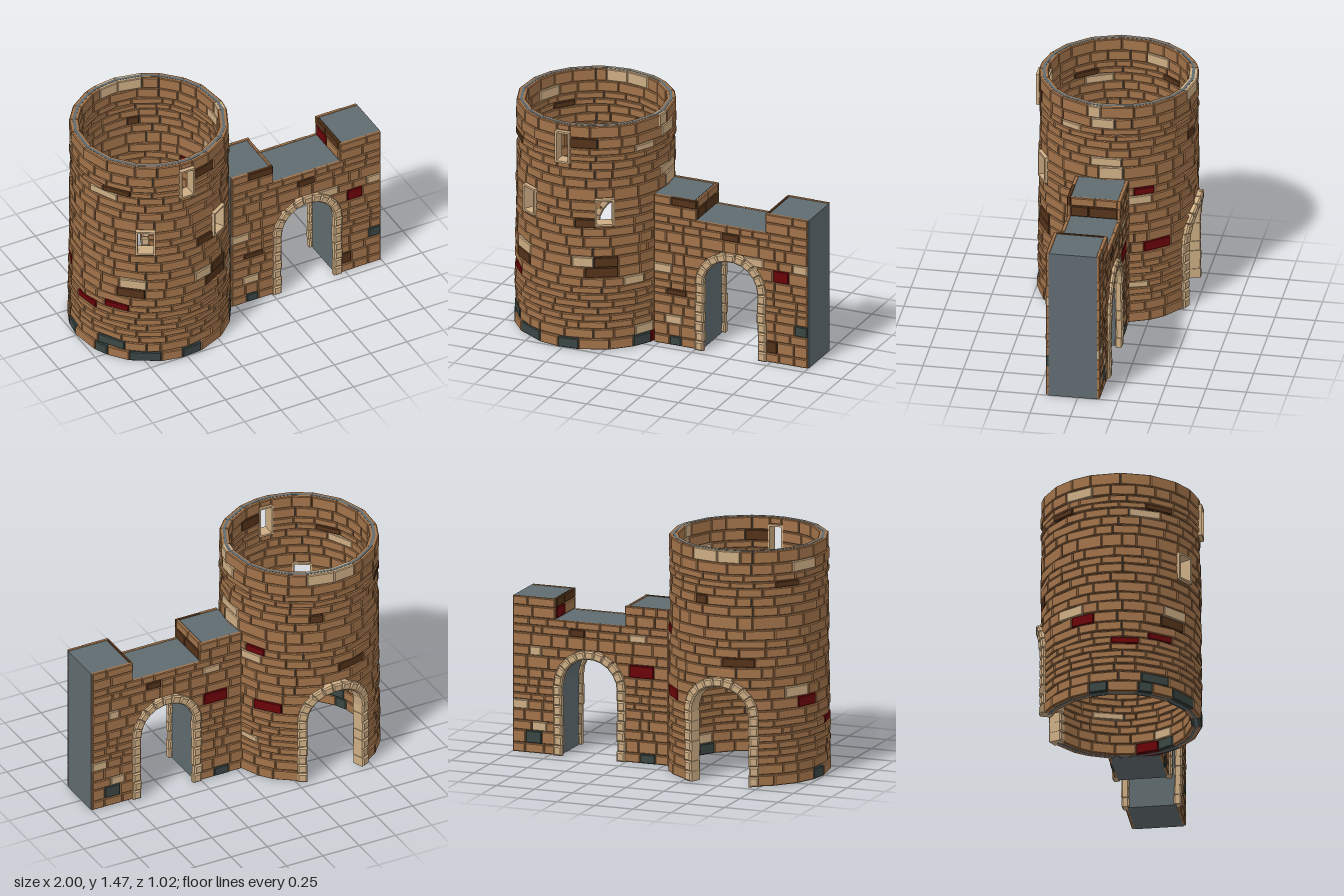
import * as THREE from 'three';
import { mergeGeometries } from 'three/addons/utils/BufferGeometryUtils.js';

const CX = -0.5, CZ = 0.008, R = 0.49, INNER = 0.43;
const ARCH = { x: 0.487, spring: 0.44, inner: 0.18, outer: 0.234, cut: 0.215 };
const DEG = Math.PI / 180;

// small seeded generator
let seed = 7;
const rand = () => (seed = (seed * 16807) % 2147483647) / 2147483647;

const paint = (name, color) => Object.assign(new THREE.MeshStandardMaterial({ color }), { name });
const palette = {
  brick: paint('brown brick', 0xa2734a),
  cream: paint('cream stone', 0xcdad84),
  dark: paint('dark brown brick', 0x55331a),
  red: paint('red brick', 0x6b0409),
  slate: paint('slate brick', 0x3a4643),
  mortar: paint('grey mortar', 0x606c70),
};

// collects shapes by colour, then makes one mesh per colour
class Part {
  constructor() { this.lists = {}; }
  add(color, geo, map) {
    if (geo.index) geo = geo.toNonIndexed();
    const p = geo.attributes.position;
    for (let i = 0; i < p.count; i++) p.setXYZ(i, ...map(p.getX(i), p.getY(i), p.getZ(i)));
    geo.computeVertexNormals();
    (this.lists[color] ??= []).push(geo);
  }
  build(name) {
    const group = new THREE.Group();
    group.name = name;
    for (const [color, list] of Object.entries(this.lists)) {
      const mesh = new THREE.Mesh(mergeGeometries(list), palette[color]);
      mesh.name = `${name} ${color}`;
      group.add(mesh);
    }
    return group;
  }
}

function rectPath(PathType, w, h) {
  const p = new PathType();
  p.moveTo(-w / 2, -h / 2).lineTo(w / 2, -h / 2).lineTo(w / 2, h / 2).lineTo(-w / 2, h / 2).closePath();
  return p;
}

// chamfered block: centred in x and y, z from 0 to d
function block(w, h, d, b = 0.005) {
  b = Math.min(b, w / 4, h / 4);
  return new THREE.ExtrudeGeometry(rectPath(THREE.Shape, w - 2 * b, h - 2 * b),
    { depth: d - 2 * b, bevelEnabled: true, bevelSize: b, bevelThickness: b, bevelSegments: 1 }).translate(0, 0, b);
}

// split lo..hi around blocked ranges, then fill each span with bricks
function course(lo, hi, blocked, size, lay) {
  let spans = [[lo, hi]];
  for (const [a, b] of blocked) {
    spans = spans.flatMap(([s, e]) => (b <= s || a >= e) ? [[s, e]] : [[s, a], [b, e]].filter(([p, q]) => q - p > 0.012));
  }
  for (const [s, e] of spans) {
    const n = Math.max(1, Math.round((e - s) / size)), step = (e - s) / n;
    let a = s;
    for (let i = 1; i <= n; i++) {
      const b = i === n ? e : s + step * (i + (rand() - 0.5) * 0.6);
      lay(a, b);
      a = b;
    }
  }
}

// colour of a brick lying over a chosen accent spot
function accent(list, a, b, y0, y1) {
  const hit = list.find(([p, y]) => p >= a && p < b && y >= y0 && y < y1);
  return hit ? hit[2] : 'brick';
}

const archHalf = (y) => y < ARCH.spring ? ARCH.cut : Math.sqrt(Math.max(0, ARCH.cut ** 2 - (y - ARCH.spring) ** 2));

// cream stones around a doorway; map places the flat arch on its surface
function archStones(part, depth, map) {
  const w = ARCH.outer - ARCH.inner, mid = (ARCH.outer + ARCH.inner) / 2, posts = 7, ring = 11;
  const h = ARCH.spring / posts;
  for (const side of [-1, 1]) {
    for (let i = 0; i < posts; i++) {
      const out = (rand() - 0.3) * 0.008, proud = rand() * 0.008;
      part.add('cream', block(w, h * 0.98, depth, 0.009),
        (x, y, z) => map(x + side * (mid + out), y + h * (i + 0.5), z - proud));
    }
  }
  for (let i = 0; i < ring; i++) {
    const angle = Math.PI * (i + 0.5) / ring;
    const geo = block(mid * Math.PI / ring * 1.04, w, depth, 0.009).rotateZ(angle - Math.PI / 2);
    part.add('cream', geo, (x, y, z) => map(x + Math.cos(angle) * mid, y + ARCH.spring + Math.sin(angle) * mid, z));
  }
}

const WINDOWS = [
  { angle: 0, y0: 1.22, y1: 1.427, w: 0.098 },
  { angle: -30.5 * DEG, y0: 0.82, y1: 0.995, w: 0.12 },
  { angle: 30.5 * DEG, y0: 0.82, y1: 0.995, w: 0.12 },
];

function polar(angle, y, r) {
  return [CX + Math.sin(angle) * r, y, CZ + Math.cos(angle) * r];
}

function buildTower() {
  const bricks = new Part();
  const rows = [0, 0.07, 0.135, 0.185, 0.23, 0.275, 0.32, 0.365, 0.41, 0.47, 0.54, 0.61, 0.67, 0.74, 0.8, 0.86,
    0.91, 0.975, 1.06, 1.12, 1.18, 1.235, 1.275, 1.32, 1.39, 1.47];
  // accent bricks by colour: angle in degrees from the front, height
  const accents = {
    dark: [[17, 1.36], [-55, 1.25], [10, 0.83], [40, 0.57], [38, 0.5], [-41, 0.5], [224, 1.25], [184, 0.77], [165, 1.15]],
    cream: [[-55, 1.2], [20, 0.57], [-46, 0.57], [81, 1.43], [82, 1.35], [91, 1.09], [95, 1.02], [122, 0.83], [58, 0.44],
      [118, 0.25], [58, 1.29], [172, 1.43], [182, 1.43], [250, 1.36], [203, 0.77], [243, 0.57], [66, 0.11]],
    red: [[-59, 0.39], [-74, 0.33], [123, 0.89], [118, 0.5], [194, 0.77], [255, 0.5], [74, 0.04]],
    slate: [[-55, 0.1], [61, 0.1], [-32, 0.03], [4, 0.03], [-64, 0.03], [58, 0.03], [262, 0.03]],
  };
  const spots = Object.entries(accents).flatMap(([c, list]) => list.map(([a, y]) => [a * DEG * R, y, c]));

  // bricks pass through the wall, so both faces match
  const lay = (a, b, y0, y1, outer) => {
    const w = b - a, h = y1 - y0, mid = (a + b) / 2, ym = (y0 + y1) / 2;
    const bend = (inner) => (x, y, z) => polar((mid + x) / R, ym + y, inner + z);
    bricks.add(accent(spots, a, b, y0, y1), block(w - 0.003, h - 0.003, outer - INNER), bend(INNER));
    bricks.add('mortar', new THREE.BoxGeometry(w, h, 0.018), bend((outer + INNER) / 2));
  };

  for (let i = 0; i < rows.length - 1; i++) {
    const y0 = rows[i], y1 = rows[i + 1], ym = (y0 + y1) / 2;
    const outer = 0.497 - 0.008 * ym + (i ? (rand() - 0.5) * 0.006 : 0.002);
    const blocked = [];
    const half = archHalf(ym);
    if (half > 0) {
      const s = Math.asin(half / R) * R;
      blocked.push([Math.PI * R - s, Math.PI * R + s]);
    }
    for (const win of WINDOWS) {
      if (y1 <= win.y0 || y0 >= win.y1) continue;
      const a = win.angle * R - win.w / 2 + 0.006, b = a + win.w - 0.012;
      blocked.push([a, b]);
      if (win.y0 - y0 > 0.01) lay(a, b, y0, win.y0, outer);
      if (y1 - win.y1 > 0.01) lay(a, b, win.y1, y1, outer);
    }
    const start = (-1.5 + (rand() - 0.5) * 0.2) * R;
    course(start, start + 2 * Math.PI * R, blocked, 0.15, (a, b) => lay(a, b, y0, y1, outer));
  }

  // window frames, open through the wall
  const frames = new Part();
  for (const { angle, y0, y1, w } of WINDOWS) {
    const shape = rectPath(THREE.Shape, w, y1 - y0);
    shape.holes.push(rectPath(THREE.Path, w - 0.024, y1 - y0 - 0.024));
    const geo = new THREE.ExtrudeGeometry(shape, { depth: 0.085, bevelEnabled: false }).translate(0, 0, 0.42).rotateY(angle);
    frames.add('cream', geo, (x, y, z) => [CX + x, (y0 + y1) / 2 + y, CZ + z]);
  }

  // doorway at the back, wrapped round the tower
  const door = new Part();
  archStones(door, 0.088, (x, y, z) => polar(Math.PI + Math.asin(x / R), y, INNER + z));

  const tower = new THREE.Group();
  tower.name = 'tower';
  tower.add(bricks.build('tower courses'), frames.build('window frames'), door.build('tower doorway'));
  return tower;
}

function buildWall() {
  const wall = new THREE.Group();
  wall.name = 'gate wall';

  // core with battlements and the gateway cut out
  const shape = new THREE.Shape();
  const r = 0.2;
  shape.moveTo(-0.03, 0).lineTo(ARCH.x - r, 0).lineTo(ARCH.x - r, ARCH.spring);
  shape.absarc(ARCH.x, ARCH.spring, r, Math.PI, 0, true);
  shape.lineTo(ARCH.x + r, 0).lineTo(1, 0).lineTo(1, 0.973).lineTo(0.735, 0.973).lineTo(0.735, 0.845);
  shape.lineTo(0.235, 0.845).lineTo(0.235, 0.973).lineTo(-0.03, 0.973).closePath();
  const core = new THREE.Mesh(new THREE.ExtrudeGeometry(shape,
    { depth: 0.3, bevelEnabled: false, curveSegments: 16 }).translate(0, 0, -0.12), palette.mortar);
  core.name = 'wall core';
  wall.add(core);

  // brick facings on both sides, with their accent bricks by x and height
  const rows = [0, 0.06, 0.14, 0.2, 0.27, 0.33, 0.37, 0.42, 0.47, 0.53, 0.61, 0.67, 0.75, 0.8, 0.848, 0.92, 0.977];
  const frontSpots = [[0.13, 0.95, 'dark'], [0.43, 0.78, 'dark'], [0.8, 0.57, 'red'], [0.92, 0.64, 'cream'],
    [0.05, 0.18, 'cream'], [0.13, 0.35, 'dark'], [0.94, 0.24, 'slate'], [0.13, 0.03, 'slate'], [0.74, 0.1, 'dark'],
    [0.02, 0.5, 'cream'], [0.7, 0.62, 'cream']];
  const backSpots = [[0.13, 0.57, 'red'], [0.08, 0.05, 'slate'], [0.87, 0.1, 'slate'], [0.92, 0.3, 'cream'],
    [0.78, 0.18, 'cream'], [0.85, 0.64, 'cream'], [0.2, 0.78, 'cream'], [0.55, 0.78, 'dark']];
  const bricks = new Part(), arches = new Part();
  for (const [front, spots] of [[true, frontSpots], [false, backSpots]]) {
    const face = front ? (x, y, z) => [x, y, 0.172 + z] : (x, y, z) => [2 * ARCH.x - x, y, -0.112 - z];
    const [lo, hi] = front ? [-0.03, 0.997] : [2 * ARCH.x - 0.997, 2 * ARCH.x + 0.03];
    const placed = spots.map(([x, y, c]) => [front ? x : 2 * ARCH.x - x, y, c]);
    for (let i = 0; i < rows.length - 1; i++) {
      const y0 = rows[i], y1 = rows[i + 1], ym = (y0 + y1) / 2, half = archHalf(ym);
      const blocked = half > 0 ? [[ARCH.x - half, ARCH.x + half]] : [];
      if (y0 > 0.84) blocked.push([0.257, 0.715]);
      course(lo, hi, blocked, 0.115, (a, b) => {
        const mid = (a + b) / 2;
        bricks.add(accent(placed, a, b, y0, y1), block(b - a - 0.003, y1 - y0 - 0.003, 0.024 + rand() * 0.004),
          (x, y, z) => face(mid + x, ym + y, z));
      });
    }
    archStones(arches, 0.048, (x, y, z) => face(ARCH.x + x, y, z));
  }

  // bricks on the inner cheeks of the battlements
  const cheeks = [[-1, 0.848, 0.92, 'dark'], [-1, 0.92, 0.977, 'brick'], [1, 0.848, 0.92, 'red'], [1, 0.92, 0.977, 'dark']];
  for (const [side, y0, y1, color] of cheeks) {
    course(-0.115, 0.175, [], 0.15, (a, b) => {
      const geo = block(b - a - 0.003, y1 - y0 - 0.003, 0.022).rotateY(-side * Math.PI / 2);
      bricks.add(color === 'red' && a > -0.1 ? 'brick' : color, geo,
        (x, y, z) => [ARCH.x - 0.002 + side * 0.25 + x, (y0 + y1) / 2 + y, (a + b) / 2 + z]);
    });
  }
  wall.add(bricks.build('wall courses'), arches.build('gateway arch'));
  return wall;
}

export function createModel() {
  seed = 7;
  const model = new THREE.Group();
  model.name = 'castle gate and tower';
  model.add(buildTower(), buildWall());
  return model;
}
